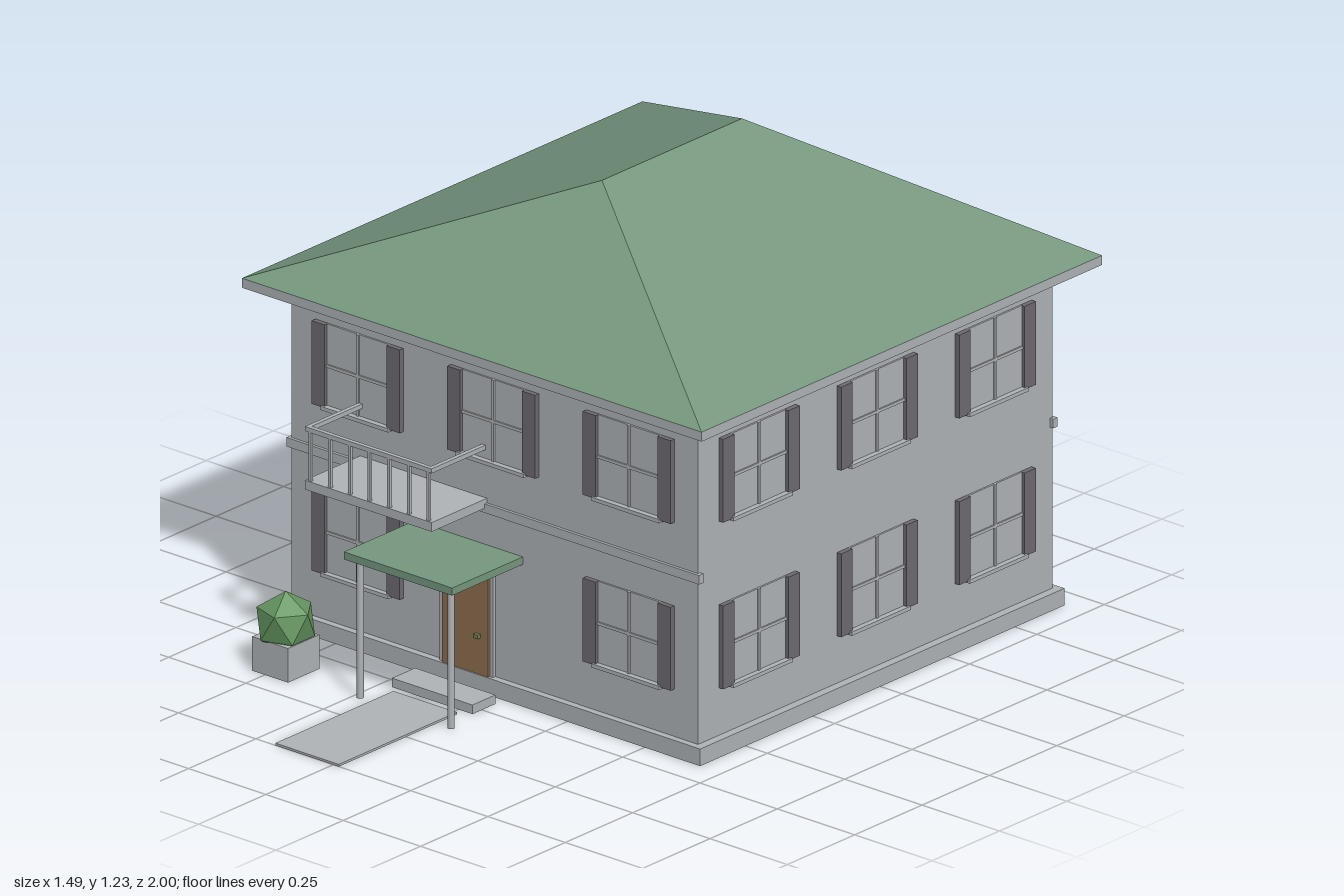
import * as THREE from 'three';
import { ConvexGeometry } from 'three/addons/geometries/ConvexGeometry.js';

const mat = (name, color, flat = false) => {
  const m = new THREE.MeshStandardMaterial({ color, flatShading: flat });
  m.name = name;
  return m;
};

export function createModel() {
  const house = new THREE.Group();
  house.name = 'house';

  const wall = mat('wall grey', 0xb0b4b8);
  const shutterGrey = mat('shutter grey', 0x6f6c71);
  const roofGreen = mat('roof green', 0x76987f, true);
  const leafGreen = mat('leaf green', 0x64955f, true);
  const wood = mat('door wood', 0x8f7050);
  const knobMat = mat('knob olive', 0x6f8050);

  const add = (parent, name, geometry, material, x = 0, y = 0, z = 0) => {
    const m = new THREE.Mesh(geometry, material);
    m.name = name;
    m.position.set(x, y, z);
    parent.add(m);
    return m;
  };
  // Box given by its extents along each axis
  const box = (parent, name, material, x0, x1, y0, y1, z0, z1) =>
    add(parent, name, new THREE.BoxGeometry(x1 - x0, y1 - y0, z1 - z0), material,
      (x0 + x1) / 2, (y0 + y1) / 2, (z0 + z1) / 2);

  const half = 0.657;  // half width of the square body
  const cz = -0.257;   // centre of the body in z
  const front = cz + half;

  // Body, plinth, floor bands and eaves
  box(house, 'walls', wall, -half, half, 0.04, 0.9, cz - half, cz + half);
  box(house, 'foundation', wall, -0.68, 0.68, 0, 0.045, cz - 0.676, cz + 0.676);
  for (const s of [1, -1]) {
    const z = cz + s * half;
    box(house, 'floorBand', wall, -0.667, 0.667, 0.472, 0.496, z - 0.008, z + 0.008);
  }
  box(house, 'eaves', wall, -0.743, 0.743, 0.895, 0.92, cz - 0.743, cz + 0.743);

  // Hipped roof with its ridge running front to back
  const e = 0.743;
  add(house, 'roof', new ConvexGeometry([
    new THREE.Vector3(-e, 0.92, cz - e), new THREE.Vector3(e, 0.92, cz - e),
    new THREE.Vector3(-e, 0.92, cz + e), new THREE.Vector3(e, 0.92, cz + e),
    new THREE.Vector3(0, 1.23, cz - 0.26), new THREE.Vector3(0, 1.23, cz + 0.26),
  ]), roofGreen);

  // One shuttered window, facing +z, centred on its own origin
  const makeWindow = () => {
    const g = new THREE.Group();
    g.name = 'window';
    box(g, 'pane', wall, -0.1, 0.1, -0.11, 0.11, -0.004, 0.005);
    box(g, 'mullion', wall, -0.004, 0.004, -0.11, 0.11, 0, 0.009);
    box(g, 'crossbar', wall, -0.1, 0.1, -0.004, 0.004, 0, 0.009);
    box(g, 'sill', wall, -0.11, 0.11, -0.115, -0.105, 0, 0.02);
    for (const s of [1, -1]) {
      box(g, 'shutter', shutterGrey, s * 0.121 - 0.021, s * 0.121 + 0.021, -0.11, 0.11, -0.002, 0.014);
    }
    return g;
  };

  // Three windows per floor on each side; the door takes one place at the front
  for (let side = 0; side < 4; side++) {
    const facade = new THREE.Group();
    facade.name = ['frontWindows', 'leftWindows', 'backWindows', 'rightWindows'][side];
    facade.position.z = cz;
    facade.rotation.y = side * Math.PI / 2;
    house.add(facade);
    for (const y of [0.28, 0.72]) {
      for (const x of [-0.438, 0, 0.438]) {
        if (side === 0 && x === 0 && y < 0.5) continue;
        const w = makeWindow();
        w.position.set(x, y, half);
        facade.add(w);
      }
    }
  }

  // Front door
  const entrance = new THREE.Group();
  entrance.name = 'entrance';
  house.add(entrance);
  box(entrance, 'doorFrame', wall, -0.17, 0.002, 0.04, 0.325, front - 0.005, front + 0.01);
  box(entrance, 'door', wood, -0.157, -0.008, 0.045, 0.31, front, front + 0.016);
  box(entrance, 'doorKnob', knobMat, -0.048, -0.033, 0.142, 0.152, front + 0.014, front + 0.026);

  // Step and front walk
  box(entrance, 'step', wall, -0.215, 0.045, 0, 0.024, 0.45, 0.535);
  box(entrance, 'walkway', wall, -0.187, 0.018, 0, 0.006, 0.562, 1);

  // Canopy on two posts
  box(entrance, 'canopy', roofGreen, -0.26, 0.09, 0.365, 0.385, front, 0.662);
  for (const x of [-0.231, 0.063]) {
    add(entrance, 'canopyPost', new THREE.CylinderGeometry(0.009, 0.009, 0.366, 12), wall, x, 0.183, 0.635);
  }

  // Balcony with railing
  const balcony = new THREE.Group();
  balcony.name = 'balcony';
  house.add(balcony);
  const bx0 = -0.436, bx1 = -0.026, bz = 0.605;
  box(balcony, 'balconySlab', wall, bx0, bx1, 0.484, 0.508, front - 0.005, bz);
  box(balcony, 'frontRail', wall, bx0, bx1, 0.638, 0.65, bz - 0.012, bz);
  for (const x of [bx0, bx1 - 0.012]) {
    box(balcony, 'sideRail', wall, x, x + 0.012, 0.638, 0.65, front, bz - 0.012);
  }
  for (let i = 0; i < 7; i++) {
    const x = bx0 + 0.014 + i * (bx1 - bx0 - 0.028) / 6;
    box(balcony, 'baluster', wall, x - 0.004, x + 0.004, 0.508, 0.638, bz - 0.01, bz - 0.002);
  }

  // Shrub in a square planter
  const planter = new THREE.Group();
  planter.name = 'planter';
  planter.position.set(-0.483, 0, 0.622);
  house.add(planter);
  box(planter, 'planterBox', wall, -0.058, 0.058, 0, 0.09, -0.058, 0.058);
  const shrub = add(planter, 'shrub', new THREE.IcosahedronGeometry(0.08, 0), leafGreen, 0, 0.128, 0);
  shrub.rotation.z = -Math.atan(2 / (1 + Math.sqrt(5))); // one corner straight up

  return house;
}
